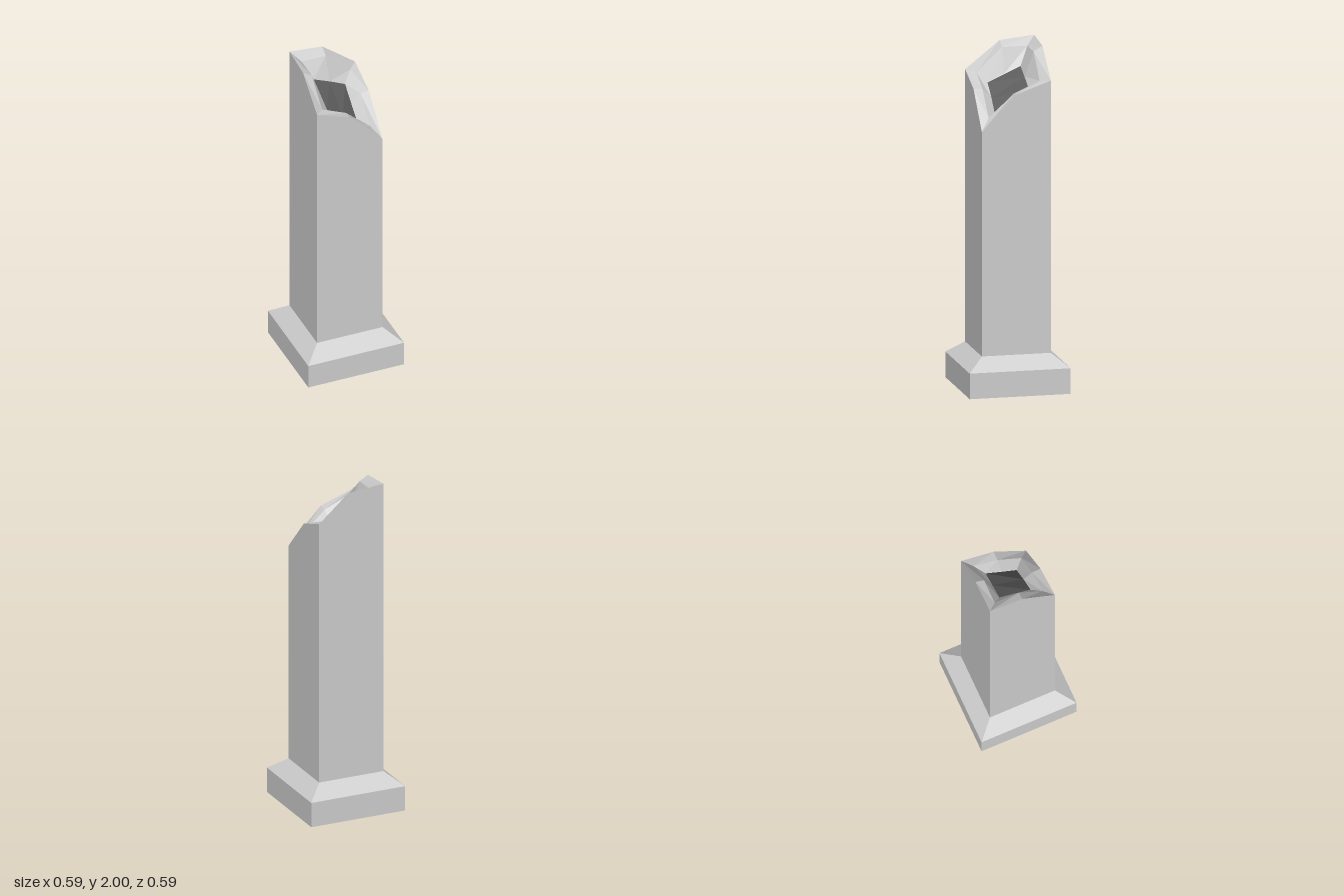
import * as THREE from 'three';

// Eight points round a square, counterclockwise from above, starting at the front right corner.
const DIRS = [[-1, 1], [0, 1], [1, 1], [1, 0], [1, -1], [0, -1], [-1, -1], [-1, 0]];

// heights: one number, or one for each of the eight points
function ring(half, heights) {
  return DIRS.map(([x, z], i) => [x * half, Array.isArray(heights) ? heights[i] : heights, z * half]);
}

// Two triangles for each quad
function quad(out, a, b, c, d) {
  out.push(...a, ...b, ...c, ...a, ...c, ...d);
}

// Band of quads joining each ring to the next
function bands(rings) {
  const out = [];
  for (let r = 0; r < rings.length - 1; r++) {
    const a = rings[r], b = rings[r + 1];
    for (let i = 0; i < 8; i++) {
      const j = (i + 1) % 8;
      quad(out, a[i], a[j], b[j], b[i]);
    }
  }
  return out;
}

function makeMesh(name, positions, material) {
  const geometry = new THREE.BufferGeometry();
  geometry.setAttribute('position', new THREE.Float32BufferAttribute(positions, 3));
  geometry.computeVertexNormals();
  const mesh = new THREE.Mesh(geometry, material);
  mesh.name = name;
  return mesh;
}

export function createModel() {
  const group = new THREE.Group();
  group.name = 'brokenPillar';

  const stone = new THREE.MeshStandardMaterial({ color: 0xcccccc });
  stone.name = 'pale stone';
  const core = new THREE.MeshStandardMaterial({ color: 0x5c5c5c });
  core.name = 'dark core';

  // Plinth: square block with a sloping top and a closed underside
  const foot = ring(0.297, 0);
  const plinth = bands([foot, ring(0.297, 0.15), ring(0.203, 0.225)]);
  quad(plinth, foot[0], foot[6], foot[4], foot[2]);
  group.add(makeMesh('plinth', plinth, stone));

  // Jagged top: outer edge, inner edge of the rim, and edge of the hollow's floor
  const outer = ring(0.203, [1.82, 1.75, 1.54, 1.75, 1.82, 1.98, 2.0, 1.98]);
  const inner = ring(0.15, [1.81, 1.745, 1.61, 1.745, 1.81, 1.95, 1.95, 1.95]);
  const floor = ring(0.097, [1.76, 1.69, 1.6, 1.69, 1.76, 1.805, 1.845, 1.805]);

  group.add(makeMesh('shaft', bands([ring(0.203, 0.225), outer]), stone));
  group.add(makeMesh('brokenRim', bands([outer, inner]), stone));
  group.add(makeMesh('hollowWall', bands([inner, floor]), stone));

  // Floor of the hollow, folded along its middle
  const floorFaces = [];
  quad(floorFaces, floor[0], floor[1], floor[5], floor[6]);
  quad(floorFaces, floor[1], floor[2], floor[4], floor[5]);
  group.add(makeMesh('hollowFloor', floorFaces, core));

  return group;
}
